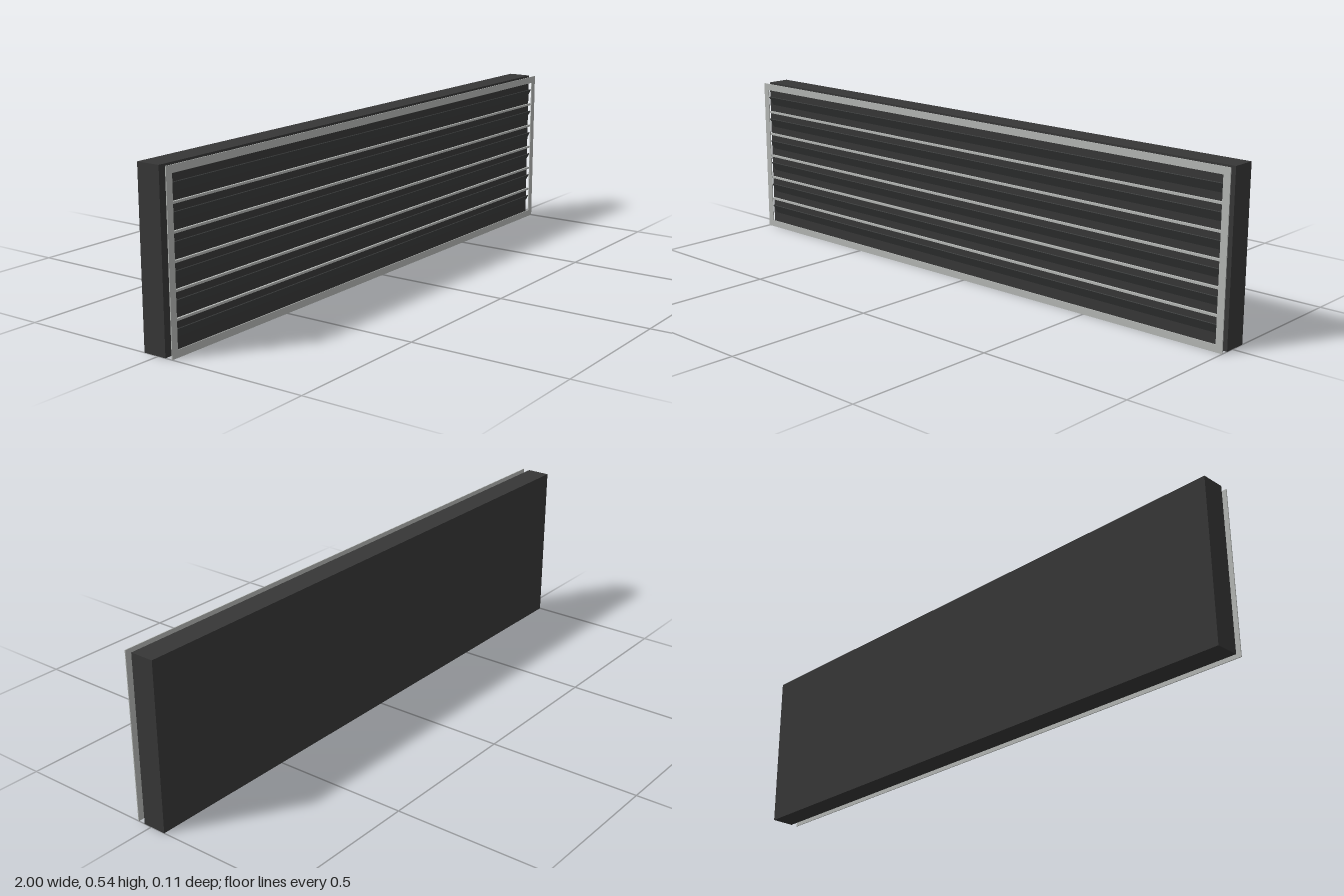
import * as THREE from 'three';

const HEIGHT = 0.54;
const BORDER = 0.023;
const PITCH = 0.082;

export function createModel() {
  const group = new THREE.Group();
  group.name = 'louvredVentGrille';

  const material = (name, color) => {
    const m = new THREE.MeshStandardMaterial({ color });
    m.name = name;
    return m;
  };
  const charcoal = material('charcoal housing', 0x363636);
  const slatGrey = material('dark slat grey', 0x3b3d3d);
  const aluminium = material('pale aluminium', 0xb2b5b2);

  const add = (name, geometry, mat, x, y, z) => {
    const mesh = new THREE.Mesh(geometry, mat);
    mesh.name = name;
    mesh.position.set(x, y, z);
    group.add(mesh);
    return mesh;
  };

  // Solid housing behind the grille
  add('housing', new THREE.BoxGeometry(2, HEIGHT, 0.079), charcoal, 0, HEIGHT / 2, -0.0125);

  // Thin rectangular face frame with an open centre
  const outline = new THREE.Shape([
    new THREE.Vector2(-1, 0), new THREE.Vector2(1, 0),
    new THREE.Vector2(1, HEIGHT), new THREE.Vector2(-1, HEIGHT),
  ]);
  const ix = 1 - BORDER, top = HEIGHT - BORDER;
  outline.holes.push(new THREE.Path([
    new THREE.Vector2(-ix, BORDER), new THREE.Vector2(-ix, top),
    new THREE.Vector2(ix, top), new THREE.Vector2(ix, BORDER),
  ]));
  const frame = new THREE.ExtrudeGeometry(outline, { depth: 0.003, bevelEnabled: false });
  add('faceFrame', frame, aluminium, 0, 0, 0.05);

  // Six tilted louvre slats, top edge leaning forward
  const slat = new THREE.BoxGeometry(ix * 2, 0.035, 0.003);
  for (let i = 0; i < 6; i++) {
    add(`slat${i + 1}`, slat, slatGrey, 0, 0.066 + i * PITCH, 0.0405).rotation.x = 0.5;
  }

  // Five slim square bars between the slats
  const bar = new THREE.BoxGeometry(ix * 2, 0.007, 0.007);
  for (let i = 0; i < 5; i++) {
    add(`crossBar${i + 1}`, bar, aluminium, 0, 0.107 + i * PITCH, 0.0465);
  }
  return group;
}
